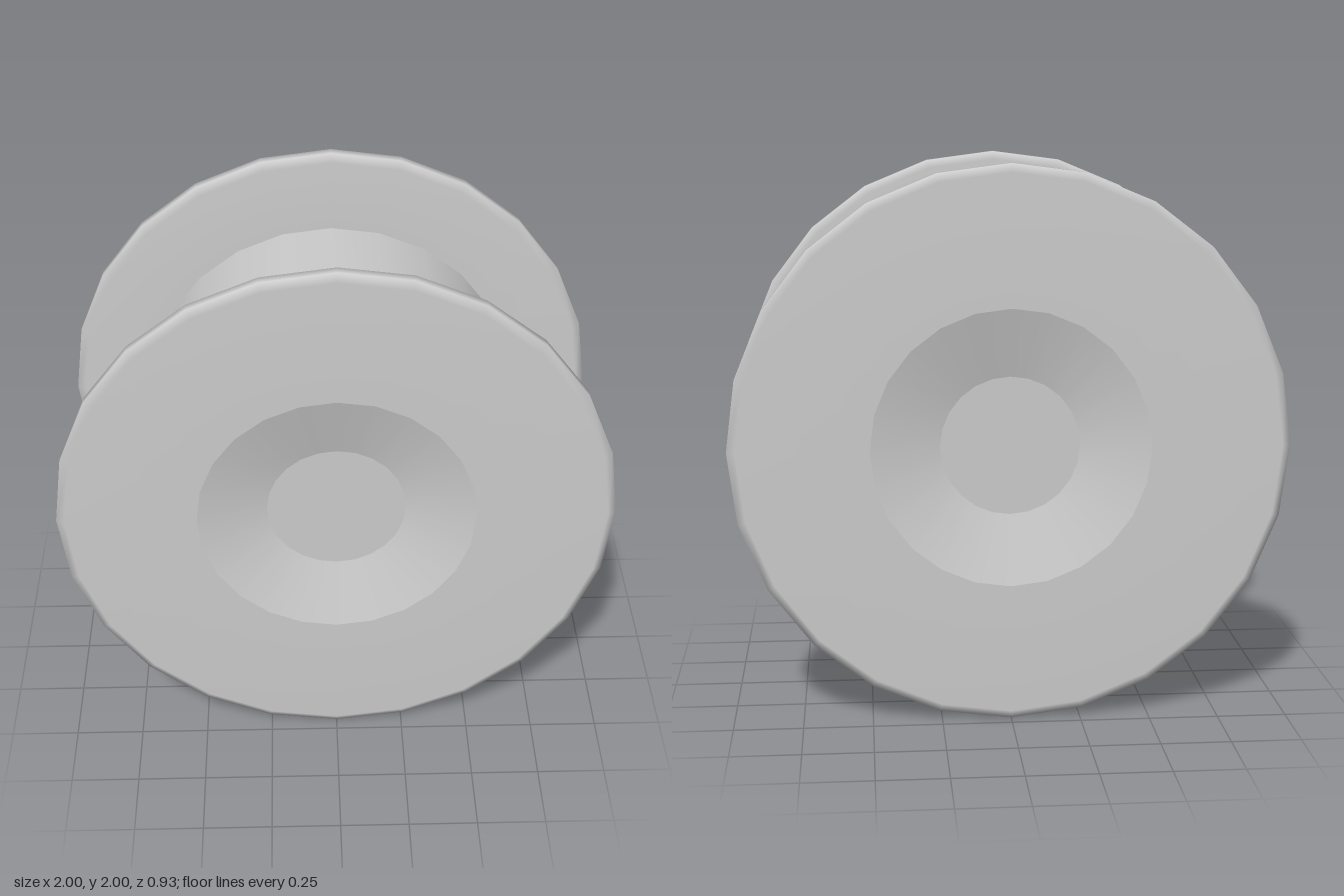
import * as THREE from 'three';

const SIDES = 24;
const HUB_R = 0.7, INNER_Z = 0.4, OUTER_Z = 0.465;

export function createModel() {
  const model = new THREE.Group();
  model.name = 'spool';
  const material = new THREE.MeshStandardMaterial({ color: 0xcccccc });

  // Revolves a profile of [radius, z] points around the z axis
  const revolve = (name, profile, parent) => {
    const points = profile.map(([r, z]) => new THREE.Vector2(r, z));
    const geometry = new THREE.LatheGeometry(points, SIDES).rotateX(Math.PI / 2);
    const mesh = new THREE.Mesh(geometry, material);
    mesh.name = name;
    parent.add(mesh);
  };

  const spool = new THREE.Group();
  spool.name = 'spoolBody';
  spool.position.y = 1;
  model.add(spool);

  // Central drum between the flanges
  revolve('hub', [[HUB_R, -INNER_Z], [HUB_R, INNER_Z]], spool);

  // Front and back flanges, each with a bevelled rim and a dished centre
  for (const [name, turn] of [['frontFlange', 0], ['backFlange', Math.PI]]) {
    const flange = new THREE.Group();
    flange.name = name;
    flange.rotation.y = turn;
    revolve('disc', [
      [HUB_R, INNER_Z], [0.97, INNER_Z], [1, INNER_Z + 0.015],
      [1, OUTER_Z - 0.015], [0.97, OUTER_Z], [0.5, OUTER_Z],
    ], flange);
    revolve('recessWall', [[0.5, OUTER_Z], [0.25, INNER_Z]], flange);
    revolve('recessFloor', [[0.25, INNER_Z], [0, INNER_Z]], flange);
    spool.add(flange);
  }

  return model;
}
